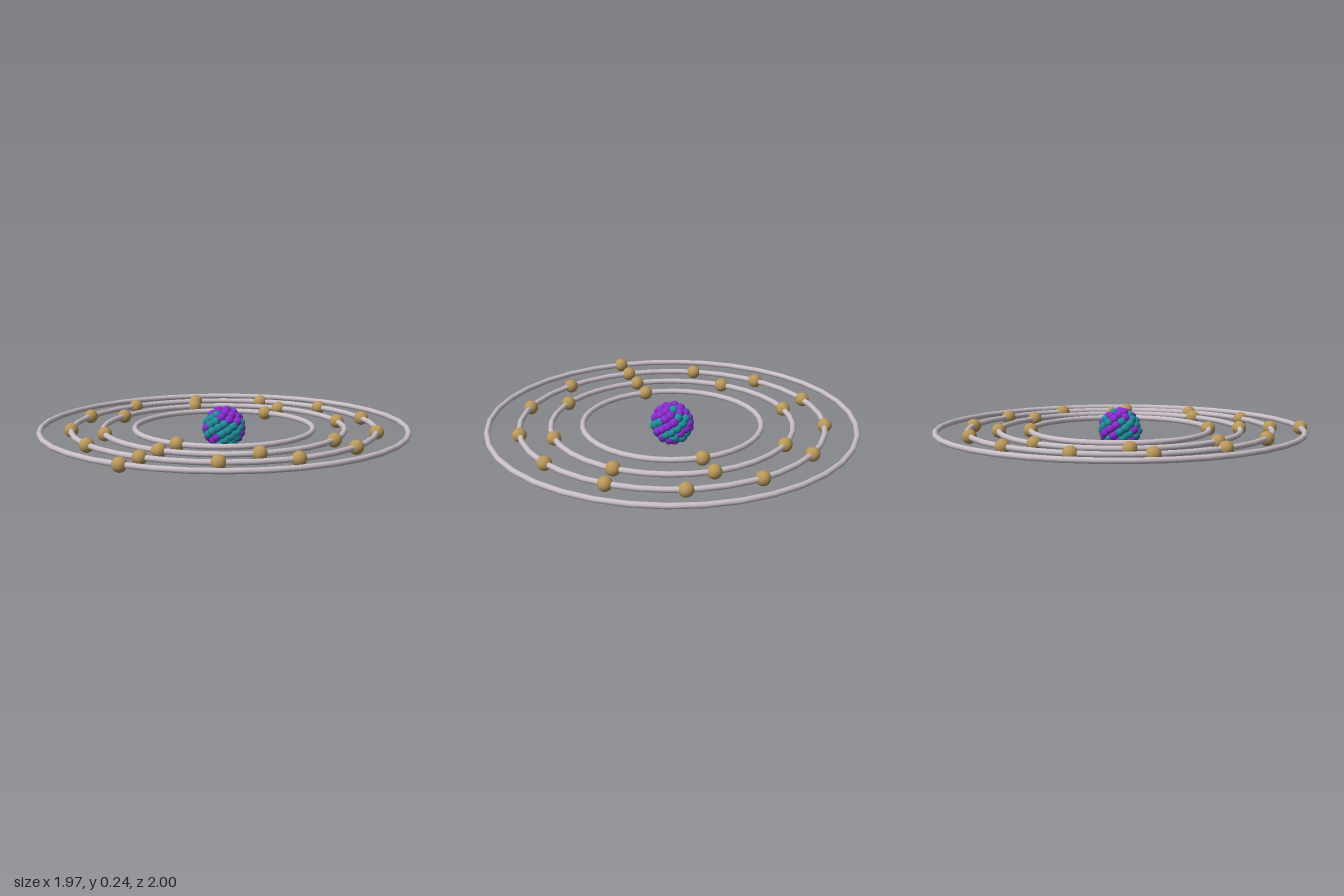
import * as THREE from 'three';

const CENTRE = new THREE.Vector3(0, 0.121, -0.013);
const TUBE = 0.015, ELECTRON = 0.038;
const NUCLEUS = 0.12, NUCLEON = 0.024;

// ring radius, electron count; electrons are evenly spaced starting at the front
const SHELLS = [[0.473, 2], [0.64, 8], [0.806, 13], [0.972, 1]];

const paint = (color) => new THREE.MeshStandardMaterial({ color });

function seeded(seed) {
  return () => {
    seed = (seed * 16807) % 2147483647;
    return seed / 2147483647;
  };
}

function add(parent, name, geometry, material) {
  const mesh = new THREE.Mesh(geometry, material);
  mesh.name = name;
  parent.add(mesh);
  return mesh;
}

// Packed ball of protons and neutrons around a filled core
function createNucleus() {
  const nucleus = new THREE.Group();
  nucleus.name = 'nucleus';
  const proton = paint(0x8a2bd0), neutron = paint(0x1f8c9c);
  const ball = new THREE.SphereGeometry(NUCLEON, 16, 12);
  const random = seeded(24);
  const count = 76, golden = Math.PI * (3 - Math.sqrt(5));
  for (let i = 0; i < count; i++) {
    const y = 1 - (2 * i + 1) / count;
    const flat = Math.sqrt(1 - y * y), angle = i * golden;
    const isProton = random() < 0.5;
    const reach = NUCLEUS - NUCLEON - random() * 0.006;
    add(nucleus, isProton ? 'proton' : 'neutron', ball, isProton ? proton : neutron)
      .position.set(flat * Math.cos(angle), y, flat * Math.sin(angle)).multiplyScalar(reach);
  }
  add(nucleus, 'nucleusCore', new THREE.SphereGeometry(0.088, 24, 16), neutron);
  return nucleus;
}

// One orbit ring with its electrons
function createShell(radius, count, index) {
  const shell = new THREE.Group();
  shell.name = `shell${index + 1}`;
  const ring = new THREE.TorusGeometry(radius, TUBE, 12, 36).rotateX(Math.PI / 2);
  add(shell, 'orbitRing', ring, paint(0xc8bec6));
  const ball = new THREE.SphereGeometry(ELECTRON, 24, 16), brass = paint(0xb8975a);
  for (let i = 0; i < count; i++) {
    const angle = (i / count) * Math.PI * 2;
    add(shell, 'electron', ball, brass)
      .position.set(radius * Math.sin(angle), 0, radius * Math.cos(angle));
  }
  return shell;
}

export function createModel() {
  const model = new THREE.Group();
  model.name = 'atom';
  const atom = new THREE.Group();
  atom.name = 'atomParts';
  atom.position.copy(CENTRE);
  atom.add(createNucleus());
  SHELLS.forEach(([radius, count], i) => atom.add(createShell(radius, count, i)));
  model.add(atom);
  return model;
}
